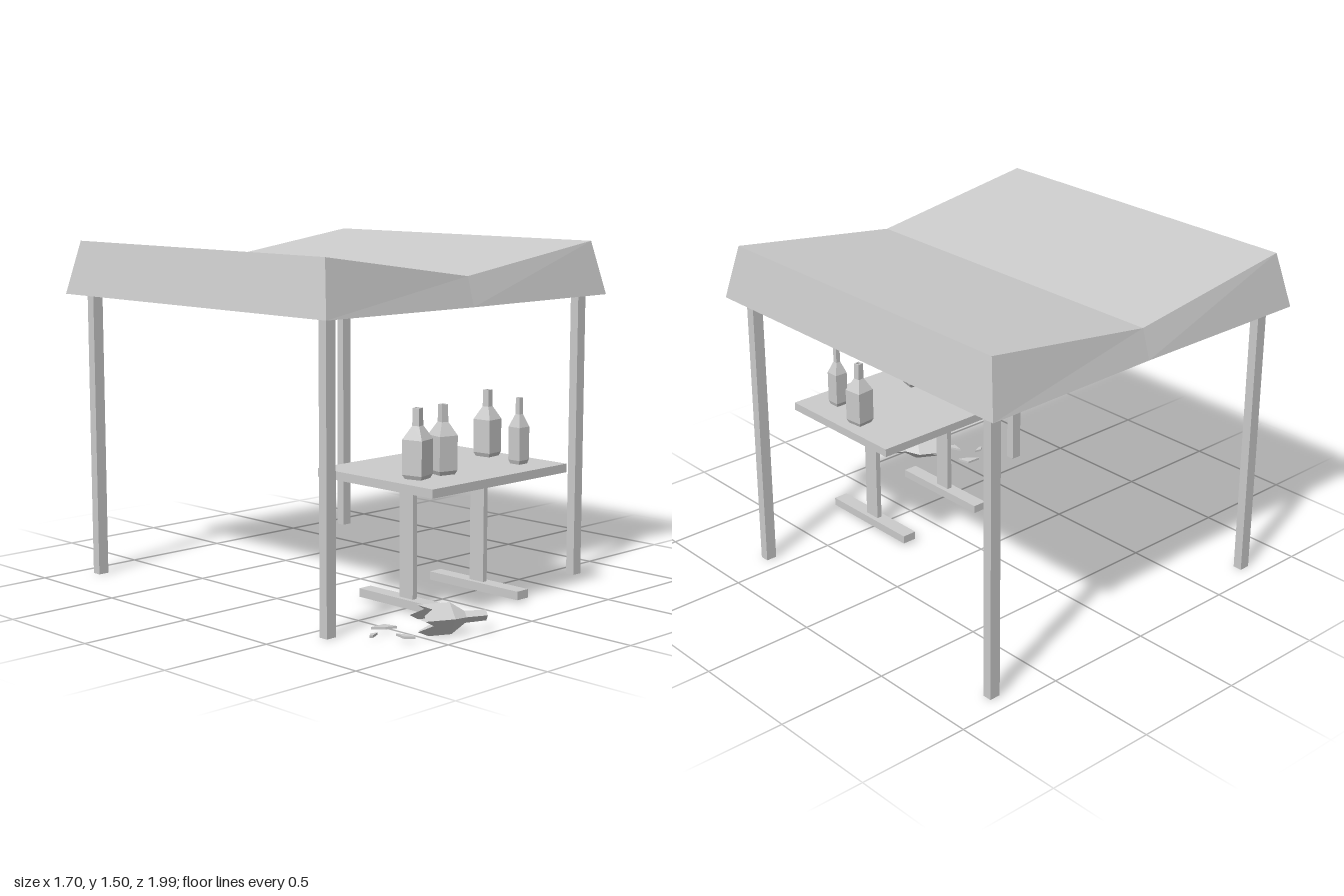
import * as THREE from 'three';

const material = new THREE.MeshStandardMaterial({ color: 0xcccccc, flatShading: true });
const thinMaterial = new THREE.MeshStandardMaterial({ color: 0xcccccc, flatShading: true, side: THREE.DoubleSide });

function add(parent, name, geometry, mat = material) {
  const mesh = new THREE.Mesh(geometry, mat);
  mesh.name = name;
  parent.add(mesh);
  return mesh;
}

// Box given by its minimum and maximum on each axis
function box(parent, name, [x0, x1], [y0, y1], [z0, z1]) {
  const mesh = add(parent, name, new THREE.BoxGeometry(x1 - x0, y1 - y0, z1 - z0));
  mesh.position.set((x0 + x1) / 2, (y0 + y1) / 2, (z0 + z1) / 2);
  return mesh;
}

// Joins successive closed rings of points with quads, with optional end caps
function loft(rings, caps = []) {
  const positions = [];
  const quad = (a, b, c, d) => [a, b, c, a, c, d].forEach((p) => positions.push(...p));
  for (let k = 0; k < rings.length - 1; k++) {
    const lower = rings[k], upper = rings[k + 1], n = lower.length;
    for (let i = 0; i < n; i++) {
      const j = (i + 1) % n;
      quad(lower[i], lower[j], upper[j], upper[i]);
    }
  }
  caps.forEach((c) => quad(...c));
  const geometry = new THREE.BufferGeometry();
  geometry.setAttribute('position', new THREE.Float32BufferAttribute(positions, 3));
  geometry.computeVertexNormals();
  return geometry;
}

// Sagging canopy with a flared skirt, hollow underneath
function canopyGeometry() {
  const ring = (x, front, back, yEdge, yMid, pinch) => [
    [-x, yEdge, front], [0, yMid, front - pinch], [x, yEdge, front],
    [x, yEdge, back], [0, yMid, back + pinch], [-x, yEdge, back],
  ];
  const innerTop = ring(0.765, 0.59, -0.905, 1.462, 1.352, 0);
  const innerBottom = ring(0.805, 0.64, -0.955, 1.265, 1.262, 0.018);
  const outerBottom = ring(0.848, 0.683, -1, 1.265, 1.26, 0.018);
  const outerTop = ring(0.803, 0.63, -0.943, 1.5, 1.386, 0);
  const pick = (r, ids) => ids.map((i) => r[i]);
  return loft([innerTop, innerBottom, outerBottom, outerTop], [
    pick(outerTop, [0, 1, 4, 5]), pick(outerTop, [1, 2, 3, 4]),
    pick(innerTop, [5, 4, 1, 0]), pick(innerTop, [4, 3, 2, 1]),
  ]);
}

// Square bottle: half-widths up the outside, then down into the open neck
function bottleGeometry(half, height) {
  const profile = [[0, 0], [0.82, 0], [1, 0.06], [1, 0.56], [0.36, 0.75], [0.33, 1], [0.2, 1], [0.2, 0.8], [0, 0.8]];
  const points = profile.map(([r, y]) => new THREE.Vector2(r * half * Math.SQRT2, y * height));
  return new THREE.LatheGeometry(points, 4).rotateY(Math.PI / 4).toNonIndexed();
}

// Bottle whose base has snapped off in a jagged edge, neck along +y
function brokenBottleGeometry() {
  const jag = [0.03, 0.07, 0.01, 0.06, 0.025, 0.085, 0.04, 0.0, 0.055, 0.02, 0.075, 0.035];
  const corners = [[-1, 1], [1, 1], [1, -1], [-1, -1]];
  const ring = (half, yAt) => jag.map((_, i) => {
    const a = corners[Math.floor(i / 3)], b = corners[(Math.floor(i / 3) + 1) % 4], t = (i % 3) / 3;
    return [half * (a[0] + (b[0] - a[0]) * t), yAt(i), half * (a[1] + (b[1] - a[1]) * t)];
  });
  return loft([
    ring(0.045, (i) => jag[i]), ring(0.045, () => 0.155), ring(0.017, () => 0.215),
    ring(0.015, () => 0.305), ring(0.009, () => 0.305), ring(0.009, () => 0.23),
  ]);
}

export function createModel() {
  const model = new THREE.Group();
  model.name = 'marketStall';

  // Shelter
  add(model, 'canopy', canopyGeometry());
  for (const [side, x] of [['right', -0.762], ['left', 0.762]]) {
    for (const [end, z] of [['Front', 0.596], ['Back', -0.902]]) {
      box(model, side + end + 'Post', [x - 0.025, x + 0.025], [0, 1.465], [z - 0.021, z + 0.021]);
    }
  }

  // Table on two pedestal legs
  const table = new THREE.Group();
  table.name = 'table';
  model.add(table);
  box(table, 'tableTop', [-0.42, 0.405], [0.543, 0.58], [0.175, 0.836]);
  for (const [side, x] of [['right', -0.227], ['left', 0.209]]) {
    box(table, side + 'Leg', [x - 0.012, x + 0.012], [0.05, 0.543], [0.477, 0.555]);
    box(table, side + 'Foot', [x - 0.034, x + 0.034], [0.013, 0.05], [0.26, 0.77]);
  }

  // Standing bottles: x, z, half-width, height, turn
  const bottles = [
    [-0.292, 0.63, 0.046, 0.29, 0.24],
    [-0.143, 0.63, 0.044, 0.29, -0.23],
    [0.264, 0.69, 0.031, 0.283, 0],
    [0.313, 0.468, 0.043, 0.29, 0.1],
  ];
  bottles.forEach(([x, z, half, height, turn], i) => {
    const bottle = add(model, 'bottle' + (i + 1), bottleGeometry(half, height));
    bottle.position.set(x, 0.58, z);
    bottle.rotation.y = turn;
  });

  // Broken bottle lying on the ground, neck pointing forward and left
  const broken = add(model, 'brokenBottle', brokenBottleGeometry().rotateY(0.12), thinMaterial);
  const direction = new THREE.Vector3(0.88, 0.01, 0.47).normalize();
  broken.quaternion.setFromUnitVectors(new THREE.Vector3(0, 1, 0), direction);
  broken.position.set(-0.515, 0.063, 0.825);

  // Glass shards, outlined in x and z
  const shards = [
    [[-0.685, 0.752], [-0.66, 0.73], [-0.627, 0.738], [-0.67, 0.757]],
    [[-0.585, 0.8], [-0.597, 0.857], [-0.563, 0.883], [-0.556, 0.862]],
    [[-0.59, 0.665], [-0.52, 0.668], [-0.505, 0.725], [-0.55, 0.705]],
  ];
  shards.forEach((outline, i) => {
    const shape = new THREE.Shape(outline.map(([x, z]) => new THREE.Vector2(x, -z)));
    const geometry = new THREE.ExtrudeGeometry(shape, { depth: 0.01, bevelEnabled: false });
    add(model, 'shard' + (i + 1), geometry.rotateX(-Math.PI / 2)).position.y = 0.013;
  });

  return model;
}
